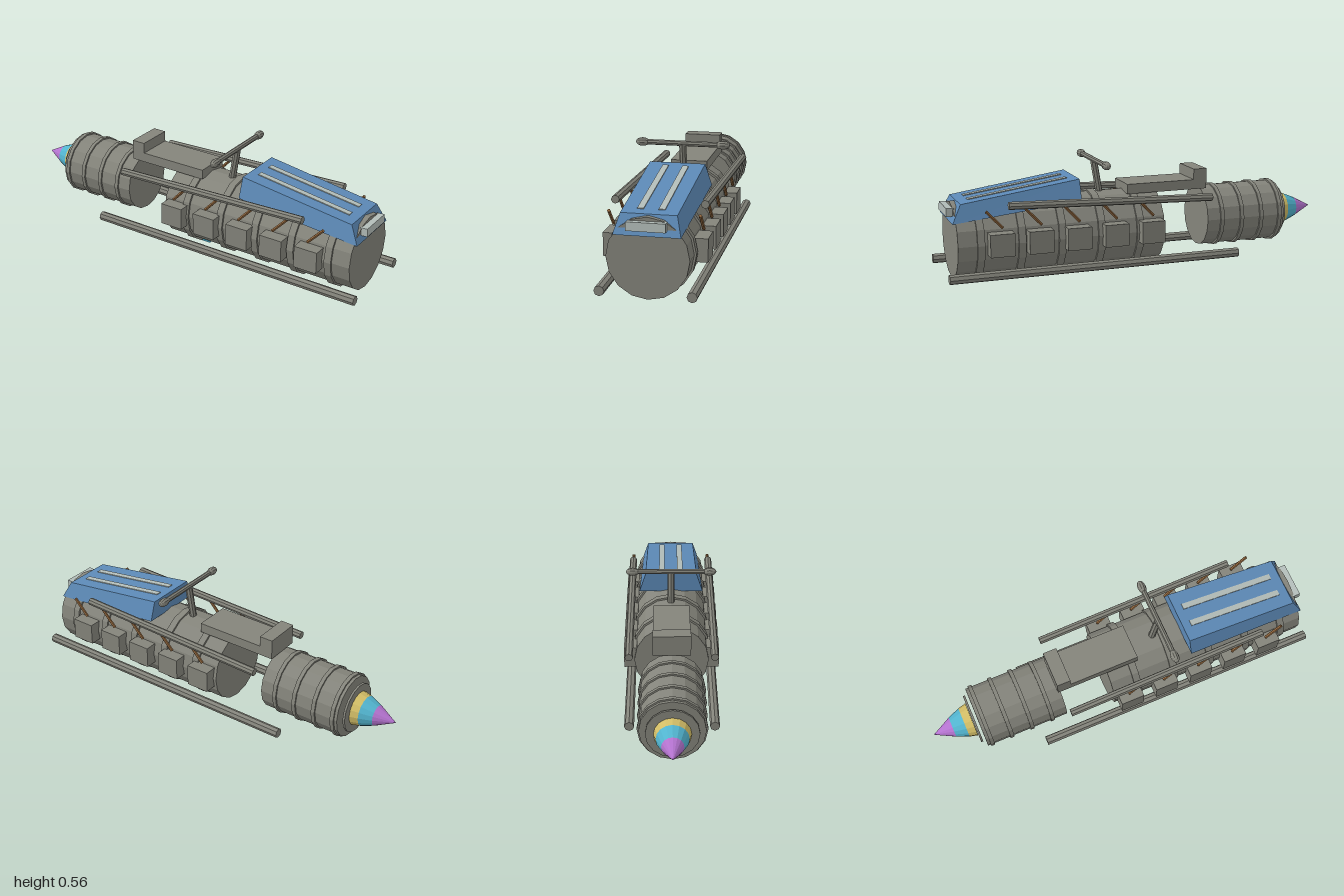
import * as THREE from 'three';

const paint = (name, color) => {
  const m = new THREE.MeshStandardMaterial({ color });
  m.name = name;
  m.flatShading = true;
  return m;
};

export function createModel() {
  const model = new THREE.Group();
  model.name = 'spacecraft';

  const grey = paint('hullGrey', 0x84847b);
  const blue = paint('cabinBlue', 0x5c89b6);
  const pale = paint('paleGlass', 0xb2bcb8);
  const brown = paint('strutBrown', 0x94693f);
  const cyan = paint('cyan', 0x52b4cf);
  const purple = paint('purple', 0xb473cf);
  const yellow = paint('yellow', 0xd2bd66);

  const add = (name, geometry, material, x = 0, y = 0, z = 0) => {
    const mesh = new THREE.Mesh(geometry, material);
    mesh.name = name;
    mesh.position.set(x, y, z);
    model.add(mesh);
    return mesh;
  };

  const box = (name, mat, x0, x1, y0, y1, z0, z1) =>
    add(name, new THREE.BoxGeometry(x1 - x0, y1 - y0, z1 - z0), mat,
      (x0 + x1) / 2, (y0 + y1) / 2, (z0 + z1) / 2);

  // Cylinder or cone band lying along x, radius r0 at x0 and r1 at x1
  const drum = (name, mat, x0, x1, y, r0, r1 = r0, sides = 16, z = 0) =>
    add(name, new THREE.CylinderGeometry(r1, r0, x1 - x0, sides).rotateZ(-Math.PI / 2),
      mat, (x0 + x1) / 2, y, z);

  // Rod between two points
  const rod = (name, mat, a, b, r, sides = 8) => {
    const p = new THREE.Vector3(...a), q = new THREE.Vector3(...b);
    const dir = q.clone().sub(p);
    const mesh = add(name, new THREE.CylinderGeometry(r, r, dir.length(), sides), mat);
    mesh.position.copy(p).add(q).multiplyScalar(0.5);
    mesh.quaternion.setFromUnitVectors(new THREE.Vector3(0, 1, 0), dir.normalize());
    return mesh;
  };

  // Main body with bands
  drum('mainBody', grey, -0.09, 0.95, 0.2, 0.188);
  for (let i = 0; i < 5; i++) {
    const x = 0.04 + i * 0.2;
    drum('bodyBand', grey, x - 0.018, x + 0.018, 0.2, 0.198);
  }
  box('bellyPanel', cyan, 0.01, 0.1, 0.008, 0.017, -0.062, 0.062);

  // Rear tank with bands and end plate
  drum('rearTank', grey, -0.77, -0.34, 0.22, 0.155);
  for (const x of [-0.745, -0.64, -0.53, -0.42])
    drum('tankBand', grey, x - 0.01, x + 0.01, 0.22, 0.163);
  drum('tankEndPlate', grey, -0.795, -0.784, 0.22, 0.125);

  // Banded tail cone
  drum('tailConeTip', purple, -1, -0.9, 0.22, 0, 0.052);
  drum('tailConeMiddle', cyan, -0.9, -0.838, 0.22, 0.052, 0.077);
  drum('tailConeBase', yellow, -0.838, -0.797, 0.22, 0.077, 0.087);

  // Deck bridging tank and body
  box('deck', grey, -0.355, 0.073, 0.375, 0.424, -0.092, 0.092);
  box('deckBlock', grey, -0.355, -0.285, 0.39, 0.478, -0.092, 0.092);

  // Cabin: tapered block with a sloping roof and raked nose
  const cabin = new THREE.BoxGeometry(1, 1, 1);
  const pos = cabin.attributes.position;
  const corner = {
    backTop: [0.335, 0.477, 0.134], backLow: [0.335, 0.377, 0.167],
    frontTop: [0.92, 0.393, 0.127], frontLow: [0.965, 0.305, 0.152],
  };
  for (let i = 0; i < pos.count; i++) {
    const key = (pos.getX(i) > 0 ? 'front' : 'back') + (pos.getY(i) > 0 ? 'Top' : 'Low');
    const [x, y, z] = corner[key];
    pos.setXYZ(i, x, y, Math.sign(pos.getZ(i)) * z);
  }
  cabin.computeVertexNormals();
  add('cabin', cabin, blue);
  const windscreen = box('windscreen', pale, 0.945, 0.982, 0.33, 0.37, -0.088, 0.088);
  windscreen.rotation.z = 0.06;

  // Crossbar mast
  rod('mast', grey, [0.19, 0.37, 0], [0.218, 0.54, 0], 0.018);
  rod('crossbar', grey, [0.22, 0.545, -0.2], [0.22, 0.545, 0.2], 0.0135);

  // Parts mirrored on both sides
  for (const s of [1, -1]) {
    const z = s * 0.207;
    const stripe = add('roofStripe', new THREE.BoxGeometry(0.5, 0.006, 0.029), pale,
      0.625, 0.4365, s * 0.048);
    stripe.rotation.z = -0.1426;

    const pod = add('crossbarPod', new THREE.SphereGeometry(0.021, 10, 8).rotateX(Math.PI / 2),
      grey, 0.22, 0.545, s * 0.198);
    pod.scale.z = 1.65;

    drum('lowerRail', grey, -0.482, 1, 0.055, 0.024, 0.024, 8, z);
    rod('upperRail', grey, [-0.335, 0.353, z], [0.708, 0.387, z], 0.0195);

    for (let i = 0; i < 5; i++) {
      const x = -0.013 + i * 0.19;
      box('sideBox', grey, x - 0.06, x + 0.06, 0.15, 0.26, s * 0.195 - 0.045, s * 0.195 + 0.045);
      rod('strut', brown, [x - 0.008, 0.284, z], [x + 0.07, 0.367, z], 0.008, 6);
    }
  }
  return model;
}
